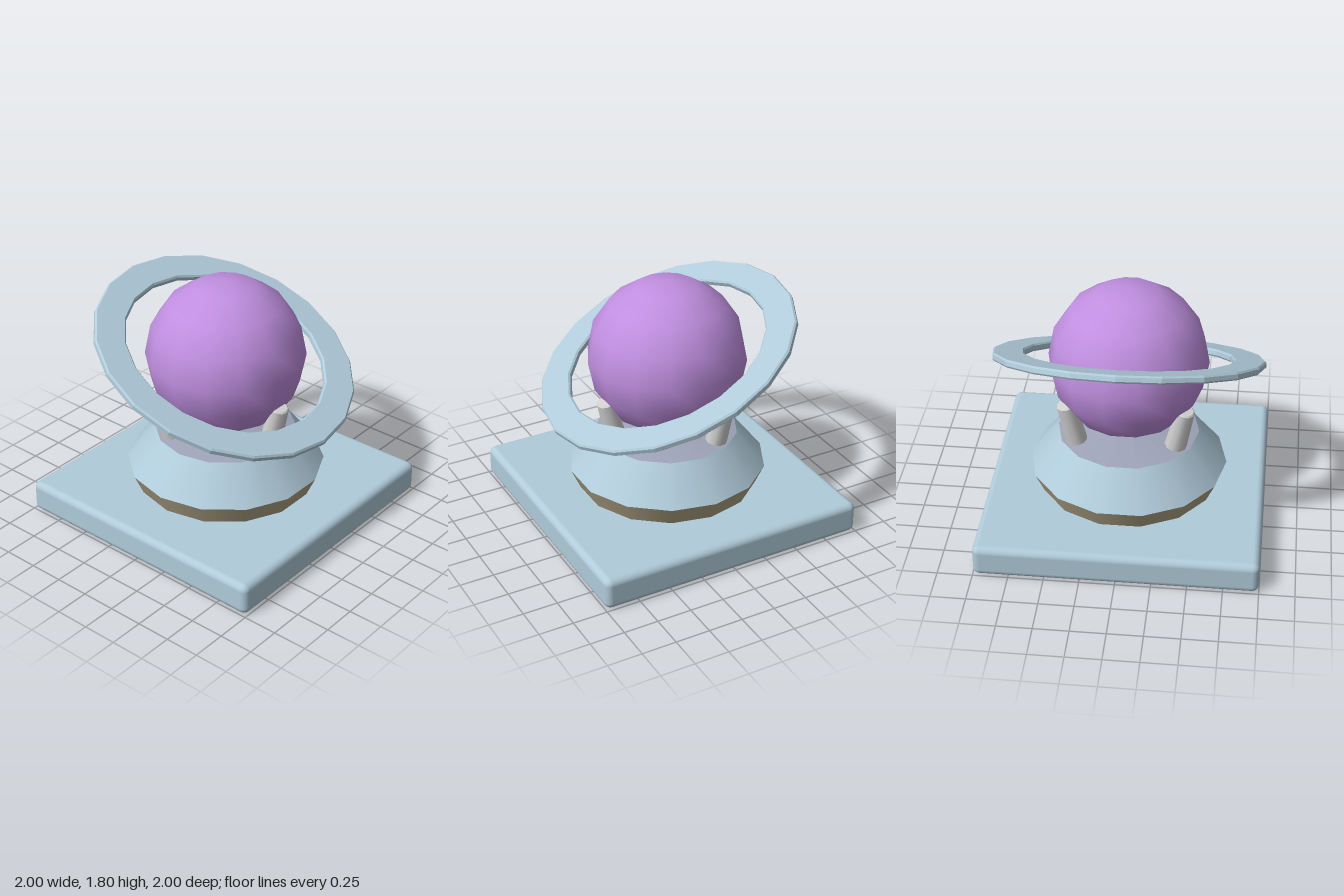
import * as THREE from 'three';
import { RoundedBoxGeometry } from 'three/addons/geometries/RoundedBoxGeometry.js';

function material(name, color, flatShading = false) {
  const m = new THREE.MeshStandardMaterial({ color });
  m.name = name;
  m.flatShading = flatShading;
  return m;
}

export function createModel() {
  const model = new THREE.Group();
  model.name = 'ringedGlobeTrophy';

  const blue = material('pale blue', 0xb0cbda);
  const tan = material('tan', 0xb2a688);
  const slate = material('slate lavender', 0x9ea4b8);
  const grey = material('light grey', 0xd2d2d2);
  const purple = material('purple', 0xc08fe0);

  const add = (name, geometry, mat, y = 0, parent = model) => {
    const mesh = new THREE.Mesh(geometry, mat);
    mesh.name = name;
    mesh.position.y = y;
    parent.add(mesh);
    return mesh;
  };

  // Square plinth with softened edges
  add('plinth', new RoundedBoxGeometry(2, 0.235, 2, 3, 0.05), blue, 0.1175);

  // Pedestal: stacked 14-sided frustums, corners on the x axis
  const SIDES = 14;
  const tier = (name, r0, y0, r1, y1, mat) => {
    const g = new THREE.CylinderGeometry(r1, r0, y1 - y0, SIDES, 1, true);
    g.rotateY(Math.PI / 2);
    add(name, g, mat, (y0 + y1) / 2);
  };
  tier('pedestalFoot', 0.635, 0.2, 0.715, 0.38, tan);
  tier('pedestalSlope', 0.715, 0.38, 0.51, 0.64, blue);
  tier('pedestalTop', 0.51, 0.64, 0, 0.735, slate);

  // Globe
  add('globe', new THREE.SphereGeometry(0.57, SIDES, 8), purple, 1.235);

  // Three posts leaning outward around the globe
  for (let i = 0; i < 3; i++) {
    const holder = new THREE.Group();
    holder.name = 'postHolder' + (i + 1);
    holder.rotation.y = (i * Math.PI * 2) / 3;
    const post = add('post', new THREE.CylinderGeometry(0.07, 0.081, 0.38, 10), grey, 0.785, holder);
    post.position.z = 0.44;
    post.rotation.x = 0.23;
    const cap = add('postCap', new THREE.CylinderGeometry(0.06, 0.07, 0.01, 10), grey, 0.195, post);
    cap.position.z = 0;
    model.add(holder);
  }

  // Tilted flat ring with chamfered edges
  const inner = 0.74, outer = 0.965, half = 0.027, bevel = 0.012;
  const profile = [
    [inner + bevel, -half], [outer - bevel, -half], [outer, -half + bevel],
    [outer, half - bevel], [outer - bevel, half], [inner + bevel, half],
    [inner, half - bevel], [inner, -half + bevel], [inner + bevel, -half],
  ].map(([x, y]) => new THREE.Vector2(x, y));
  const ringGeometry = new THREE.LatheGeometry(profile, 20).toNonIndexed();
  ringGeometry.computeVertexNormals();
  const ring = add('ring', ringGeometry, blue, 1.235);
  ring.rotation.x = 0.42;

  return model;
}
